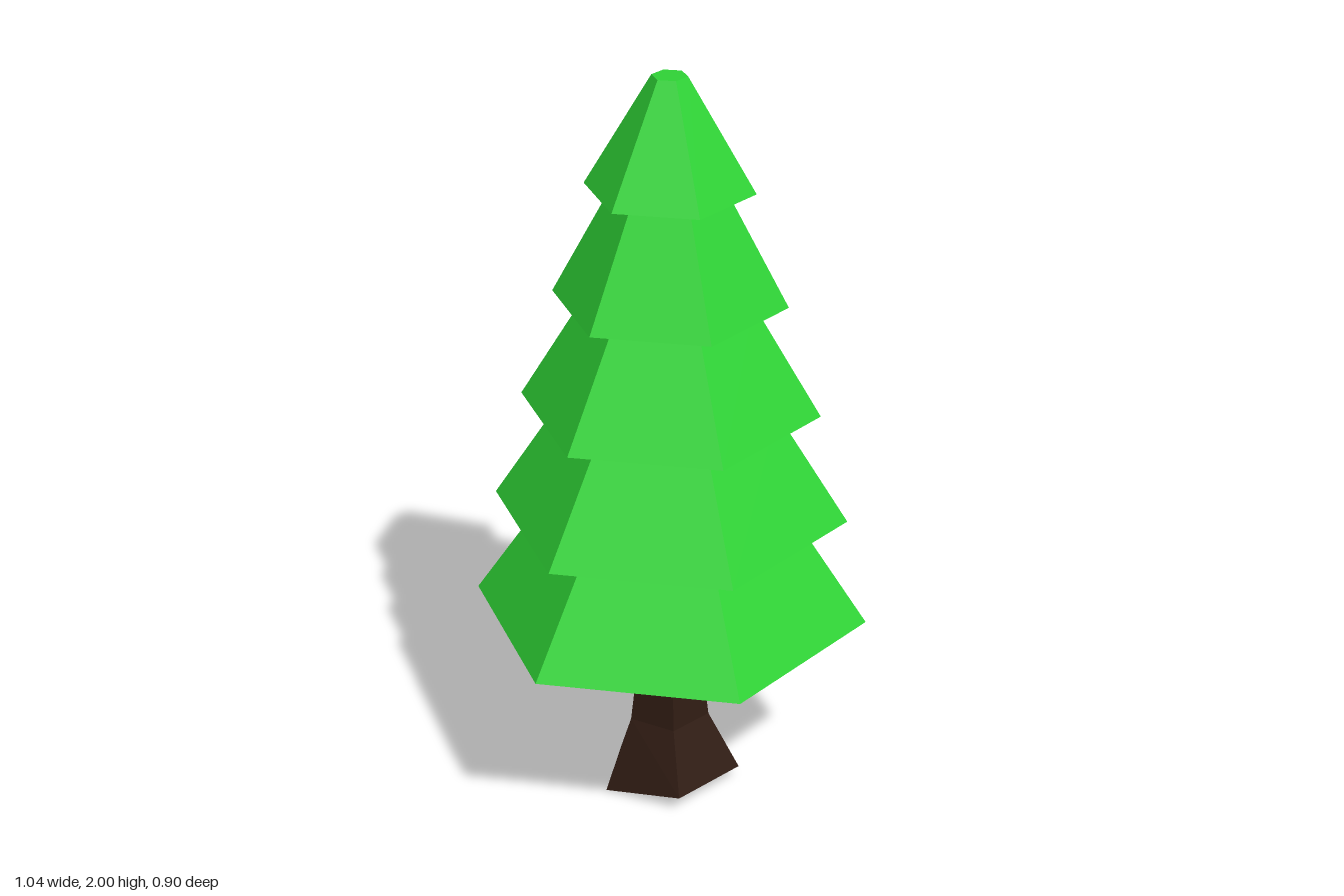
import * as THREE from 'three';

const green = new THREE.MeshStandardMaterial({ color: 0x2fd436, flatShading: true });
const brown = new THREE.MeshStandardMaterial({ color: 0x301c13, flatShading: true });

// Five-sided flared trunk with an uneven foot
function createTrunk() {
  const profile = [[0, 0.02], [0.19, 0], [0.11, 0.21], [0.07, 0.54], [0, 0.54]]
    .map(([r, y]) => new THREE.Vector2(r, y));
  const footHeights = [0.045, 0.012, 0.008, 0, 0.045];
  const geometry = new THREE.LatheGeometry(profile, 5, Math.PI / 2);
  const pos = geometry.attributes.position;
  for (let side = 0; side <= 5; side++) {
    const first = side * profile.length;
    pos.setY(first + 1, footHeights[side % 5]);
    // the stem leans slightly forward above the foot
    for (let j = 2; j < profile.length; j++) {
      const k = first + j;
      pos.setXYZ(k, pos.getX(k) - 0.003, pos.getY(k), pos.getZ(k) + 0.007);
    }
  }
  const trunk = new THREE.Mesh(geometry, brown);
  trunk.name = 'trunk';
  return trunk;
}

// Stacked hexagonal tiers: [bottom height, bottom radius, top radius]
function createFoliage() {
  const tiers = [
    [0.535, 0.52, 0.325],
    [0.828, 0.463, 0.275],
    [1.122, 0.387, 0.212],
    [1.415, 0.3, 0.143],
    [1.71, 0.215, 0.045],
  ];
  const foliage = new THREE.Group();
  foliage.name = 'foliage';
  tiers.forEach(([y, bottom, top], i) => {
    const yTop = i + 1 < tiers.length ? tiers[i + 1][0] : 2;
    const tier = new THREE.Mesh(
      new THREE.CylinderGeometry(top, bottom, yTop - y, 6, 1, false, Math.PI / 2), green);
    tier.position.y = (y + yTop) / 2;
    tier.name = `foliageTier${i + 1}`;
    foliage.add(tier);
  });
  return foliage;
}

export function createModel() {
  const tree = new THREE.Group();
  tree.name = 'pineTree';
  tree.add(createTrunk(), createFoliage());
  return tree;
}
